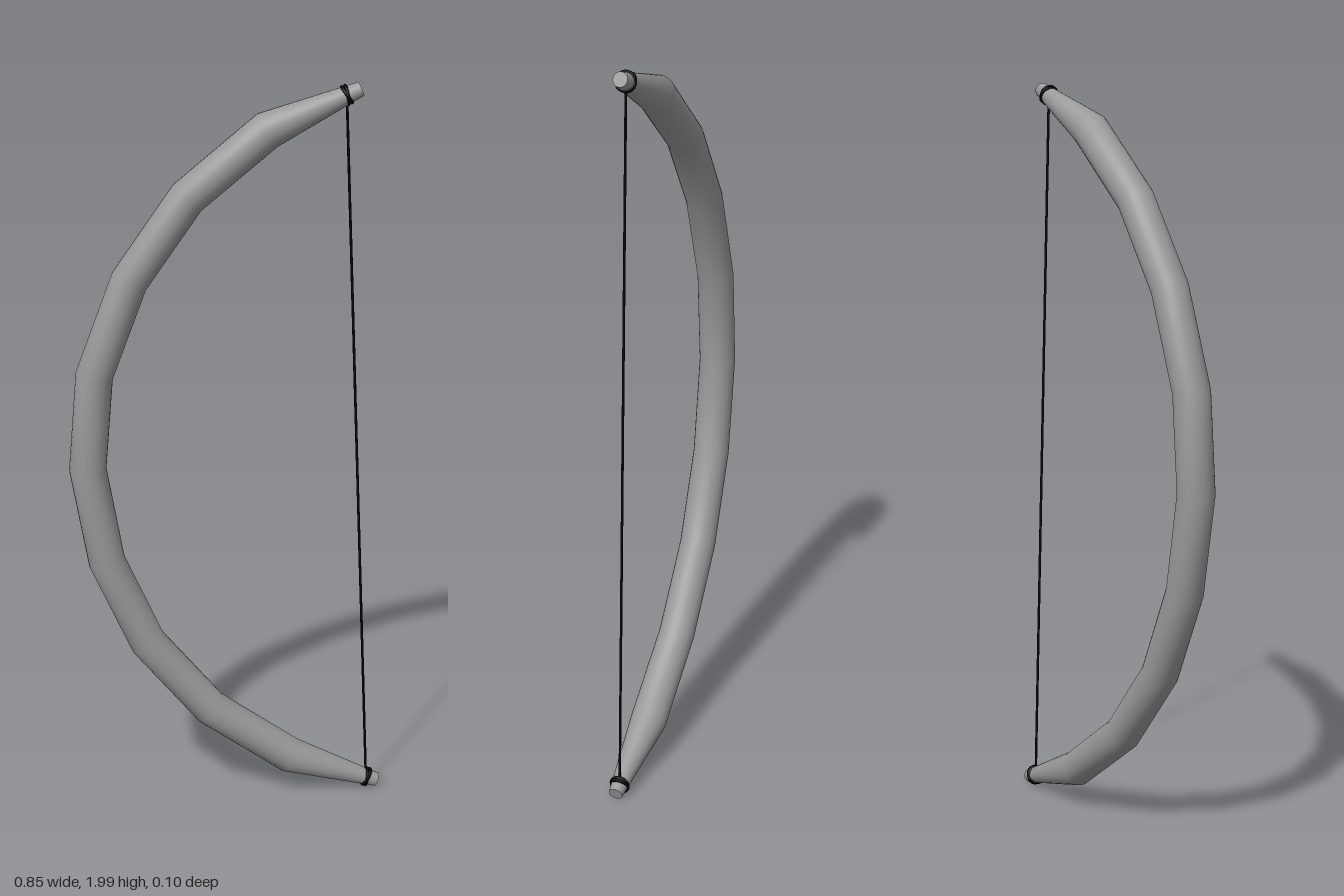
import * as THREE from 'three';

const SIDES = 24;
// limb stations from top to bottom: x, y, radius
const STATIONS = [
  [0.339, 1.977, 0.019], [0.1, 1.875, 0.0495], [-0.106, 1.704, 0.0495],
  [-0.257, 1.488, 0.0495], [-0.352, 1.235, 0.0495], [-0.374, 0.976, 0.0495],
  [-0.328, 0.712, 0.0495], [-0.22, 0.471, 0.0495], [-0.05, 0.267, 0.0495],
  [0.172, 0.112, 0.0495], [0.418, 0.024, 0.019],
];
const centres = STATIONS.map(([x, y]) => new THREE.Vector3(x, y, 0));

function tangentAt(i) {
  const step = (a, b) => centres[b].clone().sub(centres[a]).normalize();
  const last = centres.length - 1;
  return step(Math.max(i - 1, 0), Math.max(i, 1))
    .add(step(Math.min(i, last - 1), Math.min(i + 1, last))).normalize();
}

// round tube of straight segments, tapering at both tips
function limbGeometry() {
  const positions = [], index = [];
  STATIONS.forEach(([x, y, r], i) => {
    const t = tangentAt(i);
    for (let j = 0; j < SIDES; j++) {
      const a = (j / SIDES) * Math.PI * 2;
      positions.push(x + r * Math.cos(a) * t.y, y - r * Math.cos(a) * t.x, r * Math.sin(a));
      if (i === STATIONS.length - 1) continue;
      const p = i * SIDES + j, q = i * SIDES + (j + 1) % SIDES;
      index.push(p, p + SIDES, q, q, p + SIDES, q + SIDES);
    }
  });
  const g = new THREE.BufferGeometry();
  g.setAttribute('position', new THREE.Float32BufferAttribute(positions, 3));
  g.setIndex(index);
  g.computeVertexNormals();
  return g;
}

export function createModel() {
  const bow = new THREE.Group();
  bow.name = 'bow';
  const grey = new THREE.MeshStandardMaterial({ color: 0x999999 });
  const black = new THREE.MeshStandardMaterial({ color: 0x050505 });
  const zAxis = new THREE.Vector3(0, 0, 1);
  const add = (name, geometry, material) => {
    const mesh = new THREE.Mesh(geometry, material);
    mesh.name = name;
    bow.add(mesh);
    return mesh;
  };

  add('limb', limbGeometry(), grey);

  // flat tip ends and the string loops tied just behind them
  const ends = [
    { name: 'top', i: 0, knot: new THREE.Vector3(0.302, 1.962, 0) },
    { name: 'bottom', i: STATIONS.length - 1, knot: new THREE.Vector3(0.388, 0.035, 0) },
  ];
  for (const { name, i, knot } of ends) {
    const outward = tangentAt(i).multiplyScalar(i === 0 ? -1 : 1);
    const cap = add(name + 'TipCap', new THREE.CircleGeometry(STATIONS[i][2], SIDES), grey);
    cap.position.copy(centres[i]);
    cap.quaternion.setFromUnitVectors(zAxis, outward);
    for (const tilt of [-0.2, 0.2]) {
      const loop = add(name + 'StringLoop', new THREE.TorusGeometry(0.024, 0.0045, 8, 20), black);
      loop.position.copy(knot);
      loop.quaternion.setFromUnitVectors(zAxis, outward.clone().applyAxisAngle(zAxis, tilt));
    }
  }

  // straight string between the two loops
  const [top, bottom] = ends.map((e) => e.knot);
  const along = top.clone().sub(bottom);
  const string = add('bowString', new THREE.CylinderGeometry(0.0035, 0.0035, along.length(), 8), black);
  string.position.copy(top).add(bottom).multiplyScalar(0.5);
  string.quaternion.setFromUnitVectors(new THREE.Vector3(0, 1, 0), along.normalize());

  return bow;
}
